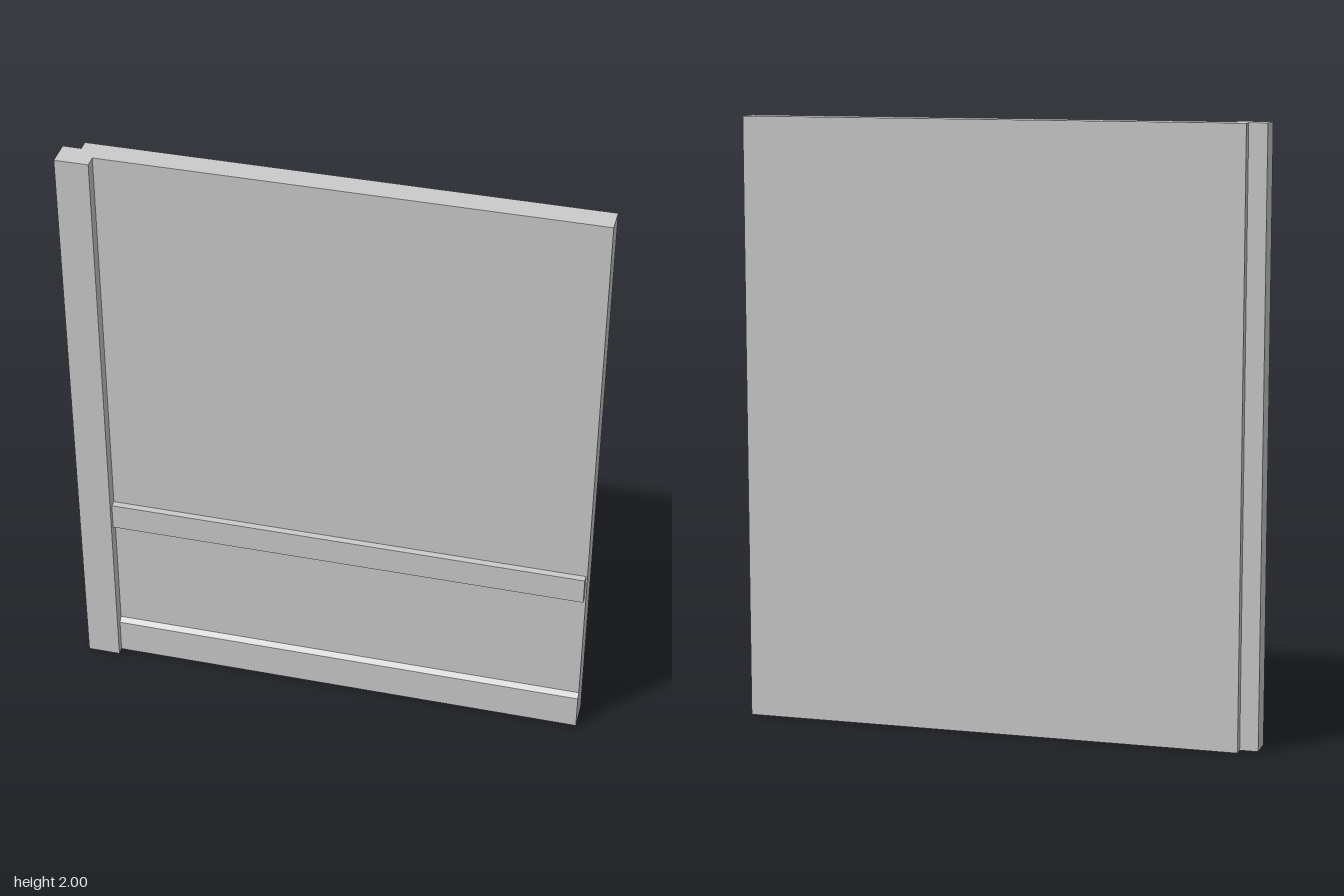
import * as THREE from 'three';

const HEIGHT = 2;
const material = new THREE.MeshStandardMaterial({ color: 0xcccccc, flatShading: true });

function addMesh(group, name, geometry) {
  const mesh = new THREE.Mesh(geometry, material);
  mesh.name = name;
  group.add(mesh);
}

// Box given by its lower and upper corners
function boxBetween([x0, y0, z0], [x1, y1, z1]) {
  return new THREE.BoxGeometry(x1 - x0, y1 - y0, z1 - z0)
    .translate((x0 + x1) / 2, (y0 + y1) / 2, (z0 + z1) / 2);
}

function extrude(points, depth) {
  const shape = new THREE.Shape(points.map(([a, b]) => new THREE.Vector2(a, b)));
  return new THREE.ExtrudeGeometry(shape, { depth, bevelEnabled: false });
}

export function createModel() {
  const group = new THREE.Group();
  group.name = 'wallPanel';

  const right = -0.86, left = 0.86; // outer ends
  const postEdge = -0.75;           // inner side of the post
  const back = -0.061, face = 0.02; // panel surfaces
  const postBack = -0.025, postFront = 0.061;

  // Wall panel: plan outline (x, -z) with a notch for the post, raised to full height
  const plan = [
    [-0.8, back], [left, back], [left, face],
    [postEdge, face], [postEdge, postBack], [-0.8, postBack],
  ].map(([x, z]) => [x, -z]);
  addMesh(group, 'panel', extrude(plan, HEIGHT).rotateX(-Math.PI / 2));

  // Upright post along one end
  addMesh(group, 'post', boxBetween([right, 0, postBack], [postEdge, HEIGHT, postFront]));

  // Horizontal rail
  addMesh(group, 'rail', boxBetween([postEdge, 0.557, face], [0.855, 0.65, 0.043]));

  // Baseboard: profile (-z, y) with a sloped top, run along x
  const profile = [[face, 0], [0.035, 0], [0.035, 0.123], [face, 0.138]].map(([z, y]) => [-z, y]);
  addMesh(group, 'baseboard',
    extrude(profile, left - postEdge).rotateY(Math.PI / 2).translate(postEdge, 0, 0));

  return group;
}
